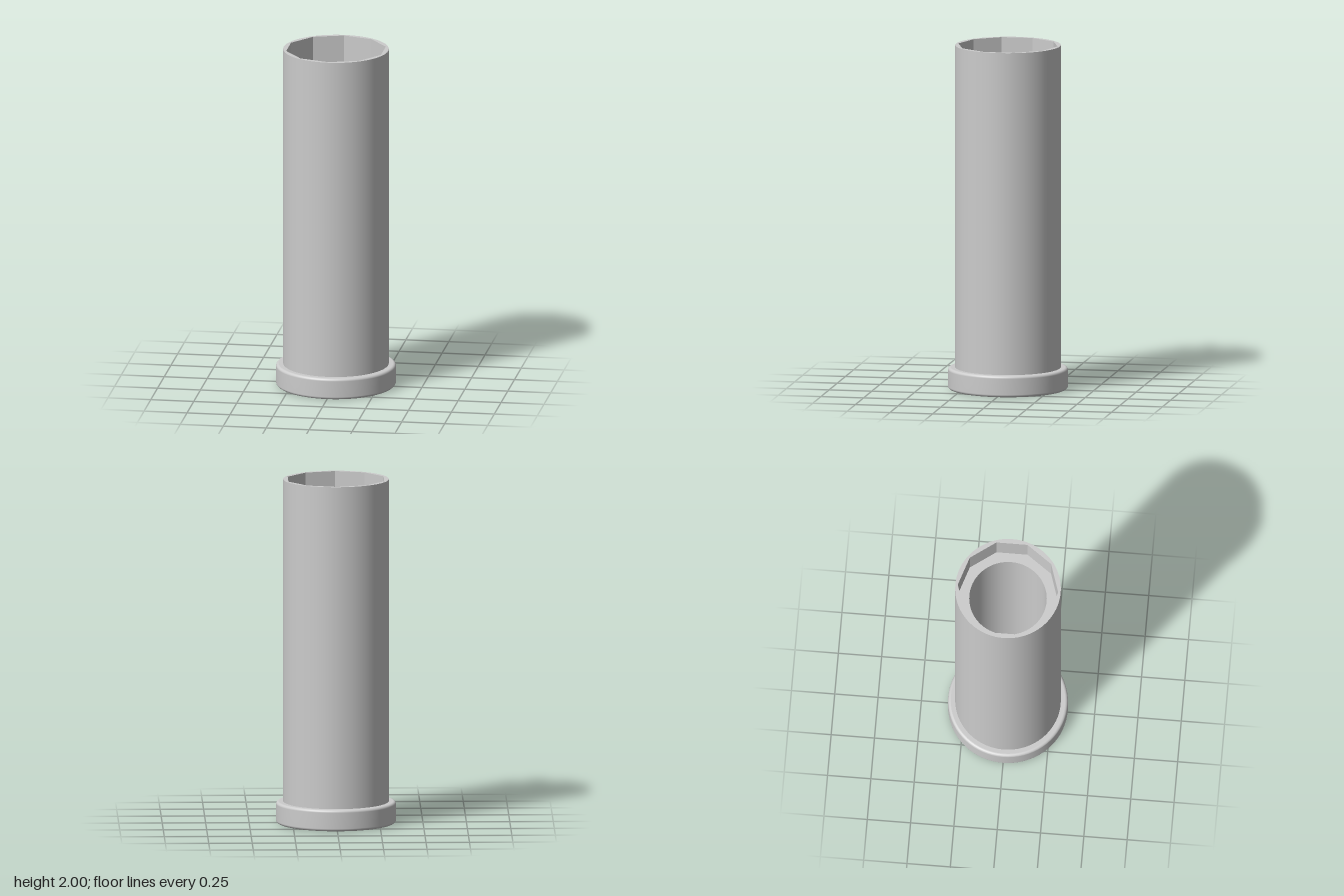
import * as THREE from 'three';

const SEG = 72, SIDES = 10;
const H = 2, BODY_R = 0.304, FLANGE_R = 0.345, FLANGE_H = 0.125, FILLET = 0.016;
const BORE_R = 0.223, SOCKET_R = 0.29, SOCKET_D = 0.165;

const smooth = new THREE.MeshStandardMaterial({ color: 0xcccccc });
const flat = new THREE.MeshStandardMaterial({ color: 0xcccccc, flatShading: true });

// Profiles running upward face outward; downward ones face inward
function lathe(name, profile, segments = SEG, material = smooth) {
  const points = profile.map(([r, y]) => new THREE.Vector2(r, y));
  const mesh = new THREE.Mesh(new THREE.LatheGeometry(points, segments), material);
  mesh.name = name;
  return mesh;
}

function polygon(Type, radius, sides) {
  const points = [];
  for (let i = 0; i < sides; i++) {
    const a = Math.PI / 2 + (i / sides) * Math.PI * 2;
    points.push(new THREE.Vector2(radius * Math.cos(a), radius * Math.sin(a)));
  }
  return new Type(points);
}

// Flat horizontal ring between two outlines
function ring(name, outerR, outerSides, innerR, innerSides, y, up) {
  const shape = polygon(THREE.Shape, outerR, outerSides);
  shape.holes.push(polygon(THREE.Path, innerR, innerSides));
  const geometry = new THREE.ShapeGeometry(shape);
  geometry.rotateX(up ? -Math.PI / 2 : Math.PI / 2);
  geometry.translate(0, y, 0);
  const mesh = new THREE.Mesh(geometry, flat);
  mesh.name = name;
  return mesh;
}

// Quarter-round points for the flange rim
function fillet(cy, start) {
  const points = [];
  for (let i = 0; i <= 6; i++) {
    const a = start + (i / 6) * Math.PI / 2;
    points.push([FLANGE_R - FILLET + FILLET * Math.cos(a), cy + FILLET * Math.sin(a)]);
  }
  return points;
}

export function createModel() {
  const group = new THREE.Group();
  group.name = 'flangedSocketTube';

  // Outer skin
  group.add(lathe('tubeBody', [[BODY_R, FLANGE_H], [BODY_R, H]]));
  group.add(lathe('flangeRim', [
    ...fillet(FILLET, -Math.PI / 2),
    ...fillet(FLANGE_H - FILLET, 0),
  ]));
  group.add(ring('flangeTop', FLANGE_R - FILLET, SEG, BODY_R, SEG, FLANGE_H, true));

  // Round bore through the middle
  group.add(lathe('bore', [[BORE_R, H - SOCKET_D], [BORE_R, SOCKET_D]]));

  // Ten-sided socket, end face and ledge at each end
  for (const up of [true, false]) {
    const end = new THREE.Group();
    end.name = up ? 'topSocket' : 'bottomSocket';
    const face = up ? H : 0;
    const ledge = up ? H - SOCKET_D : SOCKET_D;
    const rimR = up ? BODY_R : FLANGE_R - FILLET;
    end.add(
      ring('endFace', rimR, SEG, SOCKET_R, SIDES, face, up),
      lathe('socketWall', [[SOCKET_R, Math.max(face, ledge)], [SOCKET_R, Math.min(face, ledge)]], SIDES, flat),
      ring('ledge', SOCKET_R, SIDES, BORE_R, SEG, ledge, up),
    );
    group.add(end);
  }
  return group;
}
